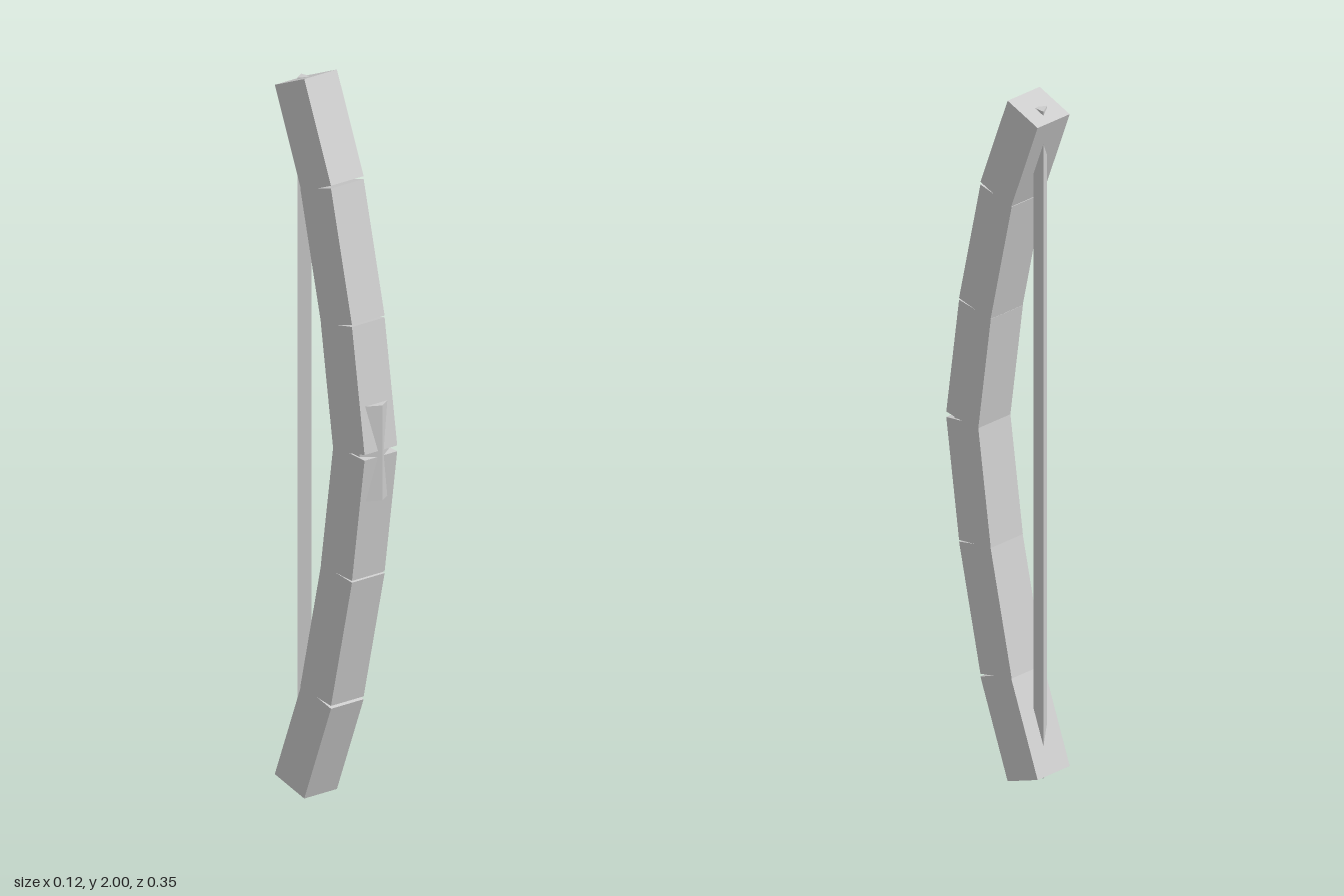
import * as THREE from 'three';

export function createModel() {
  const model = new THREE.Group();
  model.name = 'bow';
  const grey = new THREE.MeshStandardMaterial({ color: 0xcccccc });
  grey.name = 'light grey';

  const add = (name, geometry, parent = model) => {
    const mesh = new THREE.Mesh(geometry, grey);
    mesh.name = name;
    parent.add(mesh);
    return mesh;
  };

  // Straight square block whose front face runs from low to high, given as [z, y]
  const thickness = 0.12;
  const addBlock = (name, low, high, parent) => {
    const dz = high[0] - low[0];
    const dy = high[1] - low[1];
    const angle = Math.atan2(dz, dy);
    const block = add(name, new THREE.BoxGeometry(thickness, Math.hypot(dz, dy), thickness), parent);
    block.rotation.x = angle;
    block.position.set(
      0,
      (low[1] + high[1]) / 2 + Math.sin(angle) * thickness / 2,
      (low[0] + high[0]) / 2 - Math.cos(angle) * thickness / 2
    );
  };

  // Limbs: three blocks each, leaving narrow notches between their front edges
  const frontEdges = [
    [[0.168, 1.008], [0.12, 1.353]],
    [[0.12, 1.358], [0.04, 1.719]],
    [[0.04, 1.727], [-0.062, 2.0]],
  ];
  const mirror = ([z, y]) => [z, 2 - y];
  const upperLimb = new THREE.Group();
  const lowerLimb = new THREE.Group();
  upperLimb.name = 'upperLimb';
  lowerLimb.name = 'lowerLimb';
  model.add(upperLimb, lowerLimb);
  const names = ['InnerBlock', 'MiddleBlock', 'TipBlock'];
  frontEdges.forEach(([low, high], i) => {
    addBlock('upper' + names[i], low, high, upperLimb);
    addBlock('lower' + names[i], mirror(high), mirror(low), lowerLimb);
  });

  // Six-sided grip with a ridge showing at the front and back
  const grip = add('grip', new THREE.CylinderGeometry(0.063, 0.063, 0.264, 6).toNonIndexed());
  grip.geometry.computeVertexNormals();
  grip.position.set(0, 1.002, 0.111);

  // Three-sided bowstring, its ends just piercing the tips
  const string = add('bowstring',
    new THREE.CylinderGeometry(0.022, 0.022, 1.96, 3, 1, false, -Math.PI / 2).toNonIndexed());
  string.geometry.computeVertexNormals();
  string.position.set(0, 1, -0.128);

  return model;
}
